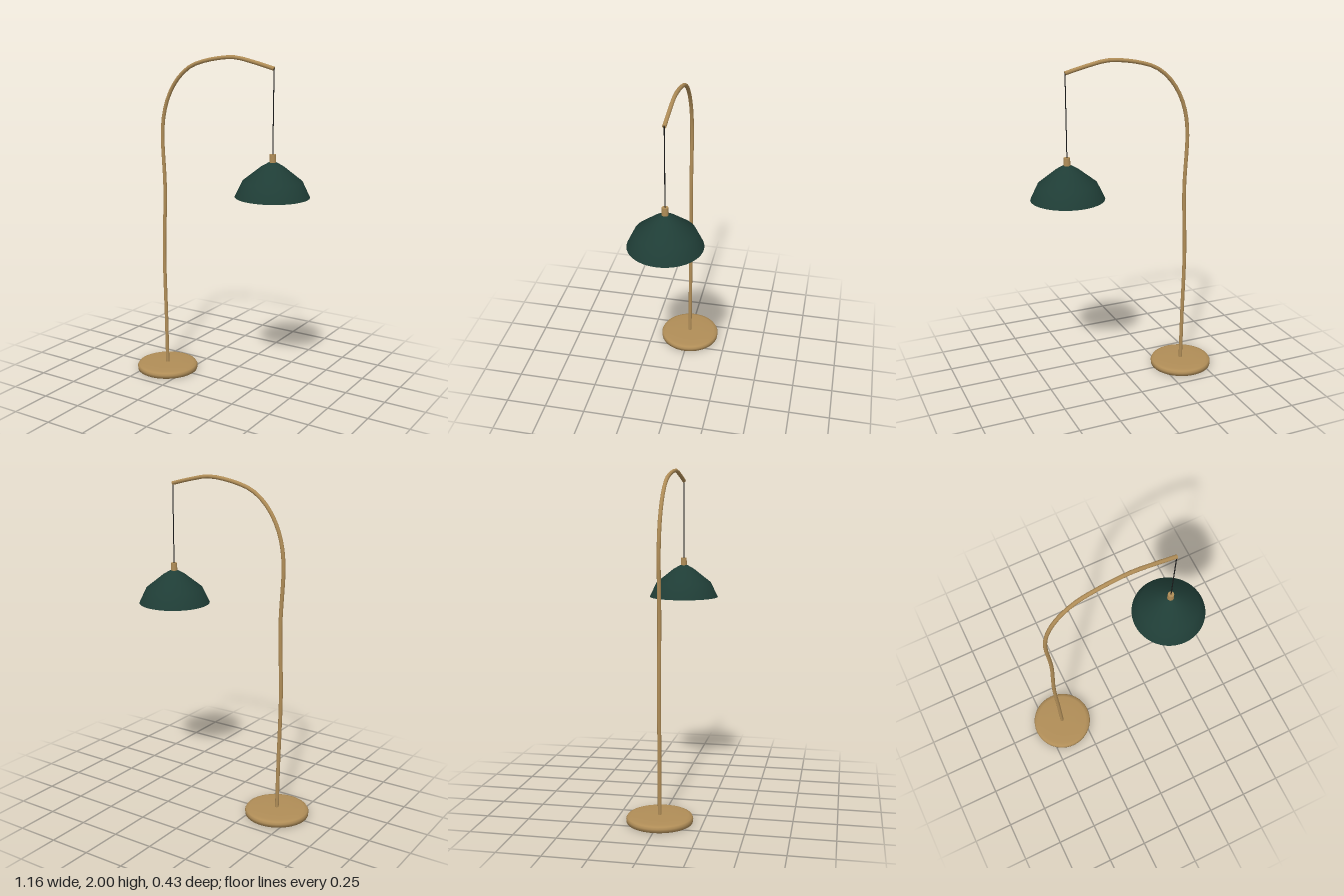
import * as THREE from 'three';

const brass = new THREE.MeshStandardMaterial({ name: 'brass', color: 0xb08d57 });
const green = new THREE.MeshStandardMaterial({ name: 'darkGreen', color: 0x1f3d36, side: THREE.DoubleSide });
const black = new THREE.MeshStandardMaterial({ name: 'black', color: 0x1a1a1a });
const white = new THREE.MeshStandardMaterial({ name: 'warmWhite', color: 0xf2eee2 });

const BASE_X = -0.387;
const LAMP_X = 0.362;

export function createModel() {
  const lamp = new THREE.Group();
  lamp.name = 'arcFloorLamp';

  const add = (name, geometry, material, x = 0, y = 0) => {
    const mesh = new THREE.Mesh(geometry, material);
    mesh.name = name;
    mesh.position.set(x, y, 0);
    lamp.add(mesh);
    return mesh;
  };
  const lathe = (points, segments) =>
    new THREE.LatheGeometry(points.map(([r, y]) => new THREE.Vector2(r, y)), segments);

  // Round weighted foot with a softened upper rim
  add('base', lathe([[0, 0], [0.19, 0], [0.192, 0.02], [0.185, 0.032], [0.165, 0.038], [0.09, 0.04], [0, 0.04]], 48), brass, BASE_X);

  // Slightly wavering pole that bends over into the arm
  const path = new THREE.CatmullRomCurve3([
    [-0.387, 0.02], [-0.392, 0.35], [-0.4, 0.76], [-0.388, 1.18], [-0.401, 1.51], [-0.389, 1.63],
    [-0.357, 1.735], [-0.294, 1.84], [-0.204, 1.92], [-0.098, 1.96], [0.098, 1.987], [0.22, 1.967], [LAMP_X, 1.932],
  ].map(([x, y]) => new THREE.Vector3(x, y, 0)));
  add('pole', new THREE.TubeGeometry(path, 48, 0.0115, 10), brass);

  // Closed end of the arm
  const tip = add('armTip', new THREE.CircleGeometry(0.0115, 10), brass, LAMP_X, 1.932);
  tip.lookAt(tip.position.clone().add(path.getTangent(1)));

  // Hanging cord and socket
  add('cord', new THREE.CylinderGeometry(0.003, 0.003, 0.49, 8), black, LAMP_X, 1.69);
  add('socket', new THREE.CylinderGeometry(0.018, 0.02, 0.06, 16), brass, LAMP_X, 1.425);

  // Open faceted-profile shade with the bulb inside
  add('shade', lathe([[0.215, 1.21], [0.172, 1.3], [0.065, 1.385], [0.025, 1.408], [0.015, 1.41]], 48), green, LAMP_X);
  add('bulb', new THREE.SphereGeometry(0.038, 20, 14), white, LAMP_X, 1.345);

  return lamp;
}
